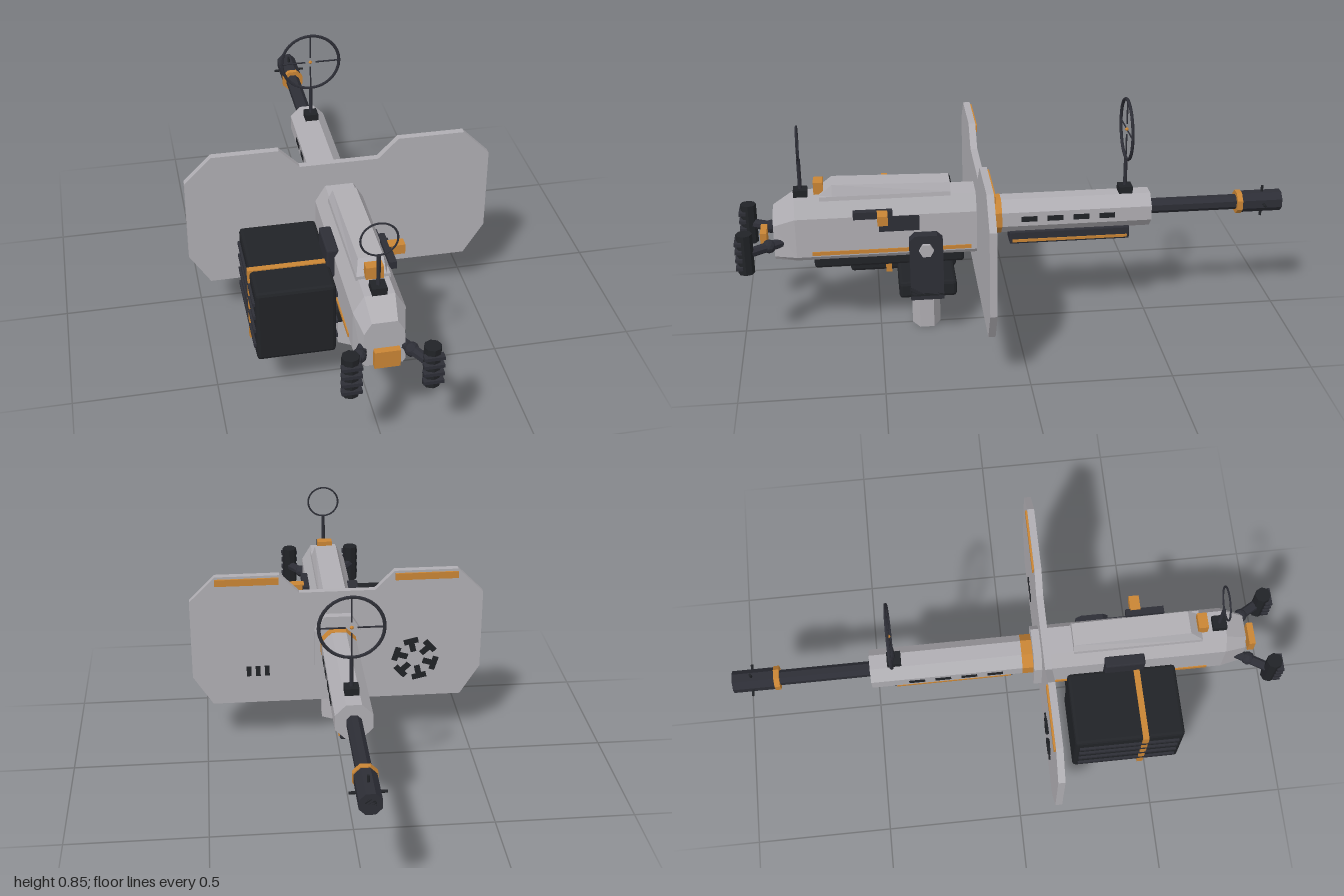
import * as THREE from 'three';
import { RoundedBoxGeometry } from 'three/addons/geometries/RoundedBoxGeometry.js';

const mat = (name, color) => {
  const m = new THREE.MeshStandardMaterial({ color });
  m.name = name;
  return m;
};

export function createModel() {
  const root = new THREE.Group();
  root.name = 'mountedGun';
  const grey = mat('lightGrey', 0xb0aeb3);
  const dark = mat('charcoal', 0x2d2e36);
  const black = mat('black', 0x212327);
  const orange = mat('orange', 0xc98535);

  // Adds a faceted mesh
  function add(name, geo, material, x = 0, y = 0, z = 0) {
    const g = geo.index ? geo.toNonIndexed() : geo;
    g.computeVertexNormals();
    const m = new THREE.Mesh(g, material);
    m.name = name;
    m.position.set(x, y, z);
    root.add(m);
    return m;
  }
  // Box given by its limits on each axis, optionally with chamfered edges
  function box(name, material, [x0, x1], [y0, y1], [z0, z1], chamfer = 0) {
    const s = [x1 - x0, y1 - y0, z1 - z0];
    const g = chamfer ? new RoundedBoxGeometry(...s, 1, chamfer) : new THREE.BoxGeometry(...s);
    return add(name, g, material, (x0 + x1) / 2, (y0 + y1) / 2, (z0 + z1) / 2);
  }
  // Cylinder along z between two depths
  function tubeZ(name, material, r, z0, z1, sides = 8, y = 0.43) {
    const g = new THREE.CylinderGeometry(r, r, z1 - z0, sides);
    g.rotateY(Math.PI / sides).rotateX(Math.PI / 2);
    return add(name, g, material, 0, y, (z0 + z1) / 2);
  }
  // Bar between two points
  function bar(name, material, a, b, r, sides = 8) {
    const p = new THREE.Vector3(...a), q = new THREE.Vector3(...b), d = q.clone().sub(p);
    const m = add(name, new THREE.CylinderGeometry(r, r, d.length(), sides), material);
    m.position.copy(p).add(q).multiplyScalar(0.5);
    m.quaternion.setFromUnitVectors(new THREE.Vector3(0, 1, 0), d.normalize());
    return m;
  }
  // Solid through matching cross-sections, ordered by increasing z
  function loft(sections) {
    const pos = [];
    const n = sections[0].length;
    const tri = (a, b, c) => pos.push(...a, ...b, ...c);
    for (let s = 0; s < sections.length - 1; s++) {
      const A = sections[s], B = sections[s + 1];
      for (let i = 0; i < n; i++) {
        const j = (i + 1) % n;
        tri(A[i], A[j], B[j]);
        tri(A[i], B[j], B[i]);
      }
    }
    const first = sections[0], last = sections[sections.length - 1];
    for (let i = 1; i < n - 1; i++) {
      tri(first[0], first[i + 1], first[i]);
      tri(last[0], last[i], last[i + 1]);
    }
    const g = new THREE.BufferGeometry();
    g.setAttribute('position', new THREE.Float32BufferAttribute(pos, 3));
    return g;
  }
  // Mirrored section from half-points listed bottom to top
  const section = (half, z) => [
    ...half.map(([x, y]) => [x, y, z]),
    ...half.slice().reverse().map(([x, y]) => [-x, y, z]),
  ];

  // Receiver with tapered rear end
  const body = [[0.072, 0.315], [0.086, 0.332], [0.086, 0.48], [0.05, 0.54]];
  const end = [[0.062, 0.322], [0.07, 0.335], [0.066, 0.45], [0.042, 0.49]];
  add('receiver', loft([section(body, 0.09), section(body, 0.79), section(end, 0.868)]), grey);
  // Sloped top cover
  const lid = (z, top) => section([[0.058, 0.535], [0.056, 0.55], [0.042, top]], z);
  add('topCover', loft([lid(0.235, 0.58), lid(0.655, 0.59), lid(0.7, 0.551)]), grey);
  box('coverLatch', orange, [-0.029, 0.029], [0.55, 0.595], [0.685, 0.72]);
  box('trigger', orange, [-0.042, 0.042], [0.35, 0.413], [0.895, 0.918]);
  for (const s of [1, -1]) box('sideStripe', orange, [s * 0.087 - 0.003, s * 0.087 + 0.003], [0.338, 0.352], [0.165, 0.735]);

  // Barrel assembly, along -z
  tubeZ('collar', orange, 0.071, 0.05, 0.1);
  tubeZ('barrelShroud', grey, 0.07, -0.5, 0.06);
  tubeZ('barrel', dark, 0.028, -0.84, -0.48);
  tubeZ('muzzleBand', orange, 0.044, -0.85, -0.83);
  tubeZ('muzzle', dark, 0.04, -1, -0.85);
  tubeZ('muzzleBore', black, 0.02, -1.0, -0.99);
  bar('muzzlePin', black, [-0.06, 0.43, -0.93], [0.06, 0.43, -0.93], 0.005);
  bar('muzzlePin', black, [0, 0.37, -0.93], [0, 0.49, -0.93], 0.005);
  for (const s of [1, -1]) {
    for (let i = 0; i < 4; i++) {
      const z = -0.05 - i * 0.095;
      box('shroudSlot', black, [s * 0.065 - 0.002, s * 0.065 + 0.002], [0.42, 0.44], [z - 0.029, z + 0.029]);
    }
    box('railStripe', orange, [s * 0.041 - 0.003, s * 0.041 + 0.003], [0.329, 0.339], [-0.415, 0.01]);
  }
  box('underRail', dark, [-0.04, 0.04], [0.32, 0.37], [-0.425, 0.02], 0.006);

  // Shield, open to the receiver behind it
  const half = [[0.471, 0.182], [0.544, 0.298], [0.544, 0.607], [0.448, 0.703], [0.212, 0.703], [0.14, 0.63]];
  const outline = new THREE.Shape(section(half, 0).map(([x, y]) => new THREE.Vector2(x, y)));
  add('shield', new THREE.ExtrudeGeometry(outline, { depth: 0.025, bevelEnabled: false }), grey, 0, 0, 0.119);
  for (const s of [1, -1]) box('shieldStripe', orange, [s * 0.332 - 0.117, s * 0.332 + 0.117], [0.668, 0.694], [0.112, 0.12]);
  for (let i = -1; i <= 1; i++) box('shieldMark', black, [0.29 + i * 0.034, 0.308 + i * 0.034], [0.295, 0.335], [0.115, 0.12]);
  // Plain radial vent pattern
  for (let i = 0; i < 6; i++) {
    const a = (i * Math.PI) / 3 + 0.3;
    const spoke = add('ventSpoke', new THREE.BoxGeometry(0.048, 0.022, 0.005), black,
      -0.295 + Math.cos(a) * 0.055, 0.34 + Math.sin(a) * 0.055, 0.1175);
    spoke.rotation.z = a;
    const tip = add('ventTip', new THREE.BoxGeometry(0.022, 0.055, 0.004), black,
      -0.295 + Math.cos(a) * 0.075, 0.34 + Math.sin(a) * 0.075, 0.1175);
    tip.rotation.z = a;
  }

  // Sights
  function sight(name, z, r, tube, baseY, y = 0.737) {
    add(name + 'Ring', new THREE.TorusGeometry(r, tube, 6, 32), dark, 0, y, z);
    bar(name + 'Post', dark, [0, baseY, z], [0, y - r, z], 0.007);
    box(name + 'Base', black, [-0.025, 0.025], [baseY - 0.02, baseY + 0.02], [z - 0.025, z + 0.025]);
  }
  sight('frontSight', -0.41, 0.11, 0.006, 0.5);
  sight('rearSight', 0.767, 0.06, 0.0035, 0.545);
  for (let i = 0; i < 4; i++) {
    const c = Math.round(Math.cos((i * Math.PI) / 2)), s = Math.round(Math.sin((i * Math.PI) / 2));
    bar('crosshair', dark, [c * 0.02, 0.737 + s * 0.02, -0.41], [c * 0.11, 0.737 + s * 0.11, -0.41], 0.003, 6);
  }
  add('aimingDot', new THREE.OctahedronGeometry(0.007, 1), orange, 0, 0.737, -0.41);

  // Grips on angled arms
  for (const s of [1, -1]) {
    bar('gripArm', dark, [s * 0.06, 0.385, 0.84], [s * 0.13, 0.38, 0.96], 0.018);
    add('gripJoint', new THREE.IcosahedronGeometry(0.025, 1), dark, s * 0.085, 0.383, 0.885);
    bar('grip', black, [s * 0.13, 0.307, 0.966], [s * 0.13, 0.457, 0.966], 0.029);
    for (let i = 0; i < 4; i++) {
      const y = 0.335 + i * 0.031;
      box('gripRidge', dark, [s * 0.13 - 0.033, s * 0.13 + 0.033], [y - 0.006, y + 0.006], [0.975, 1]);
    }
  }

  // Charging handle and ports
  box('ejectionPort', dark, [0.08, 0.09], [0.42, 0.478], [0.35, 0.495]);
  box('handleRail', dark, [0.08, 0.106], [0.478, 0.505], [0.445, 0.585]);
  box('chargingHandle', orange, [0.1, 0.155], [0.472, 0.508], [0.463, 0.5]);
  box('feedBlock', dark, [-0.112, -0.07], [0.4, 0.51], [0.345, 0.49], 0.006);

  // Ammunition box with ribs and strap
  box('ammoBox', black, [-0.37, -0.1], [0.172, 0.448], [0.208, 0.603], 0.012);
  for (const x of [-0.369, -0.101]) {
    for (const y of [0.225, 0.285, 0.342, 0.395]) box('ammoRib', dark, [x - 0.009, x + 0.009], [y - 0.007, y + 0.007], [0.225, 0.585]);
    box('ammoStrap', orange, [x - 0.008, x + 0.008], [0.168, 0.452], [0.45, 0.472]);
  }
  for (const y of [0.17, 0.45]) box('ammoStrap', orange, [-0.372, -0.098], [y - 0.002, y + 0.002], [0.45, 0.472]);

  // Cradle, one-armed yoke and pedestal
  box('cradle', black, [-0.073, 0.073], [0.279, 0.325], [0.19, 0.73], 0.01);
  box('yokeBase', black, [-0.09, 0.093], [0.147, 0.21], [0.22, 0.43], 0.012);
  const arm = new THREE.Shape([[0.27, 0.16], [0.39, 0.16], [0.39, 0.395], [0.37, 0.414], [0.29, 0.414], [0.27, 0.395]]
    .map(([z, y]) => new THREE.Vector2(-z, y)));
  add('yokeArm', new THREE.ExtrudeGeometry(arm, { depth: 0.04, bevelEnabled: false }).rotateY(Math.PI / 2), dark, 0.093);
  box('yokeFoot', black, [0.06, 0.133], [0.175, 0.21], [0.27, 0.39]);
  bar('pivotPin', dark, [0.07, 0.36, 0.33], [0.12, 0.36, 0.33], 0.035);
  bar('pivotBolt', grey, [0.12, 0.36, 0.33], [0.144, 0.36, 0.33], 0.027, 6);
  add('pedestal', new THREE.CylinderGeometry(0.052, 0.052, 0.16, 6), grey, 0, 0.08, 0.33);
  return root;
}
